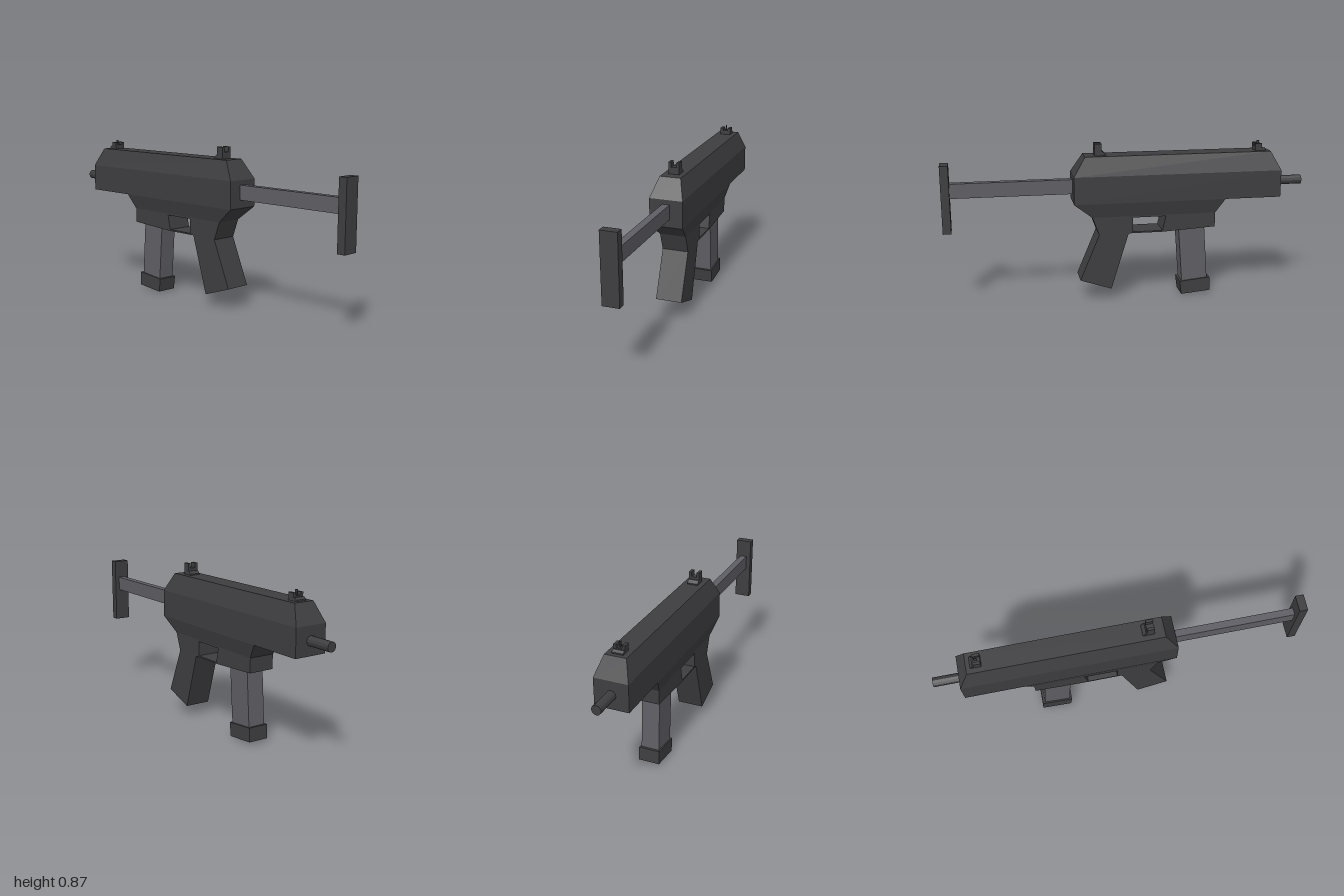
import * as THREE from 'three';

const material = (color) => new THREE.MeshStandardMaterial({ color, flatShading: true });

export function createModel() {
  const model = new THREE.Group();
  const dark = material(0x3e3e41);
  const light = material(0x5e5e64);

  function add(name, geometry, mat = dark, parent = model) {
    const mesh = new THREE.Mesh(geometry, mat);
    mesh.name = name;
    parent.add(mesh);
    return mesh;
  }

  // Box given by its ranges in x, y and z
  function box(name, [x0, x1], [y0, y1], [z0, z1], mat = dark, parent = model) {
    const mesh = add(name, new THREE.BoxGeometry(x1 - x0, y1 - y0, z1 - z0), mat, parent);
    mesh.position.set((x0 + x1) / 2, (y0 + y1) / 2, (z0 + z1) / 2);
    return mesh;
  }

  // Side outline of [z, y] points, extruded across x
  function sidePlate(name, points, halfWidth, mat = dark, hole = null, parent = model) {
    const toVectors = (list) => list.map(([z, y]) => new THREE.Vector2(-z, y));
    const shape = new THREE.Shape(toVectors(points));
    if (hole) shape.holes.push(new THREE.Path(toVectors(hole)));
    const geometry = new THREE.ExtrudeGeometry(shape, { depth: halfWidth * 2, bevelEnabled: false });
    geometry.translate(0, 0, -halfWidth).rotateY(Math.PI / 2);
    return add(name, geometry, mat, parent);
  }

  // Stacked rectangles [y, halfWidth, zMin, zMax], from bottom to top
  function loft(name, levels) {
    const positions = [];
    const rings = levels.map(([y, w, z0, z1]) => [[-w, y, z1], [w, y, z1], [w, y, z0], [-w, y, z0]]);
    const quad = (a, b, c, d) => positions.push(...a, ...b, ...c, ...a, ...c, ...d);
    for (let i = 0; i < rings.length - 1; i++) {
      for (let j = 0; j < 4; j++) {
        const k = (j + 1) % 4;
        quad(rings[i][j], rings[i][k], rings[i + 1][k], rings[i + 1][j]);
      }
    }
    const top = rings[rings.length - 1];
    quad(...rings[0].slice().reverse());
    quad(...top);
    const geometry = new THREE.BufferGeometry();
    geometry.setAttribute('position', new THREE.Float32BufferAttribute(positions, 3));
    geometry.computeVertexNormals();
    return add(name, geometry);
  }

  // Chamfered receiver and its tapering underside
  loft('receiver', [
    [0.555, 0.092, -0.855, 0.3],
    [0.705, 0.092, -0.855, 0.3],
    [0.808, 0.058, -0.8, 0.235],
  ]);
  loft('receiverUnderside', [
    [0.475, 0.073, -0.487, 0.2],
    [0.555, 0.092, -0.54, 0.3],
  ]);

  // Rear grip, trigger guard and magazine well as one plate
  sidePlate('gripAndGuard', [
    [0.2, 0.475], [0.163, 0.375], [0.27, 0.12], [0.097, 0.062],
    [0, 0.378], [-0.19, 0.378], [-0.487, 0.395], [-0.487, 0.475],
  ], 0.073, dark, [[-0.025, 0.467], [-0.208, 0.467], [-0.19, 0.386], [-0.025, 0.386]]);

  // Slanted magazine with a wider foot
  sidePlate('magazine', [[-0.285, 0.4], [-0.432, 0.4], [-0.455, 0.07], [-0.31, 0.06]], 0.05, light);
  sidePlate('magazineFoot', [[-0.296, 0.076], [-0.468, 0.092], [-0.472, 0.015], [-0.306, 0]], 0.058);

  // Stock
  box('stockRod', [-0.02, 0.02], [0.6, 0.68], [0.28, 0.96], light);
  box('stockPad', [-0.045, 0.045], [0.412, 0.782], [0.955, 1]);

  // Barrel
  const barrel = add('barrel', new THREE.CylinderGeometry(0.026, 0.026, 0.17, 12));
  barrel.rotation.x = Math.PI / 2;
  barrel.position.set(0, 0.63, -0.915);

  // Rear sight: foot, block and two ears
  const rearSight = new THREE.Group();
  rearSight.name = 'rearSight';
  model.add(rearSight);
  sidePlate('rearSightFoot', [[0.15, 0.8], [0.118, 0.8], [0.118, 0.815], [0.135, 0.83], [0.15, 0.83]],
    0.03, dark, null, rearSight);
  box('rearSightBlock', [-0.03, 0.03], [0.8, 0.845], [0.14, 0.18], dark, rearSight);
  for (const s of [-1, 1]) {
    box('rearSightEar', [s * 0.0225 - 0.0075, s * 0.0225 + 0.0075], [0.845, 0.872], [0.14, 0.18], dark, rearSight);
  }

  // Front sight: foot, block, two ears and a thin post
  const frontSight = new THREE.Group();
  frontSight.name = 'frontSight';
  model.add(frontSight);
  sidePlate('frontSightFoot', [[-0.75, 0.8], [-0.75, 0.825], [-0.765, 0.825], [-0.778, 0.815], [-0.778, 0.8]],
    0.03, dark, null, frontSight);
  box('frontSightBlock', [-0.03, 0.03], [0.8, 0.832], [-0.758, -0.72], dark, frontSight);
  for (const s of [-1, 1]) {
    box('frontSightEar', [s * 0.0225 - 0.0075, s * 0.0225 + 0.0075], [0.832, 0.847], [-0.758, -0.72], dark, frontSight);
  }
  box('frontSightPost', [-0.002, 0.002], [0.832, 0.86], [-0.75, -0.735], dark, frontSight);

  return model;
}
